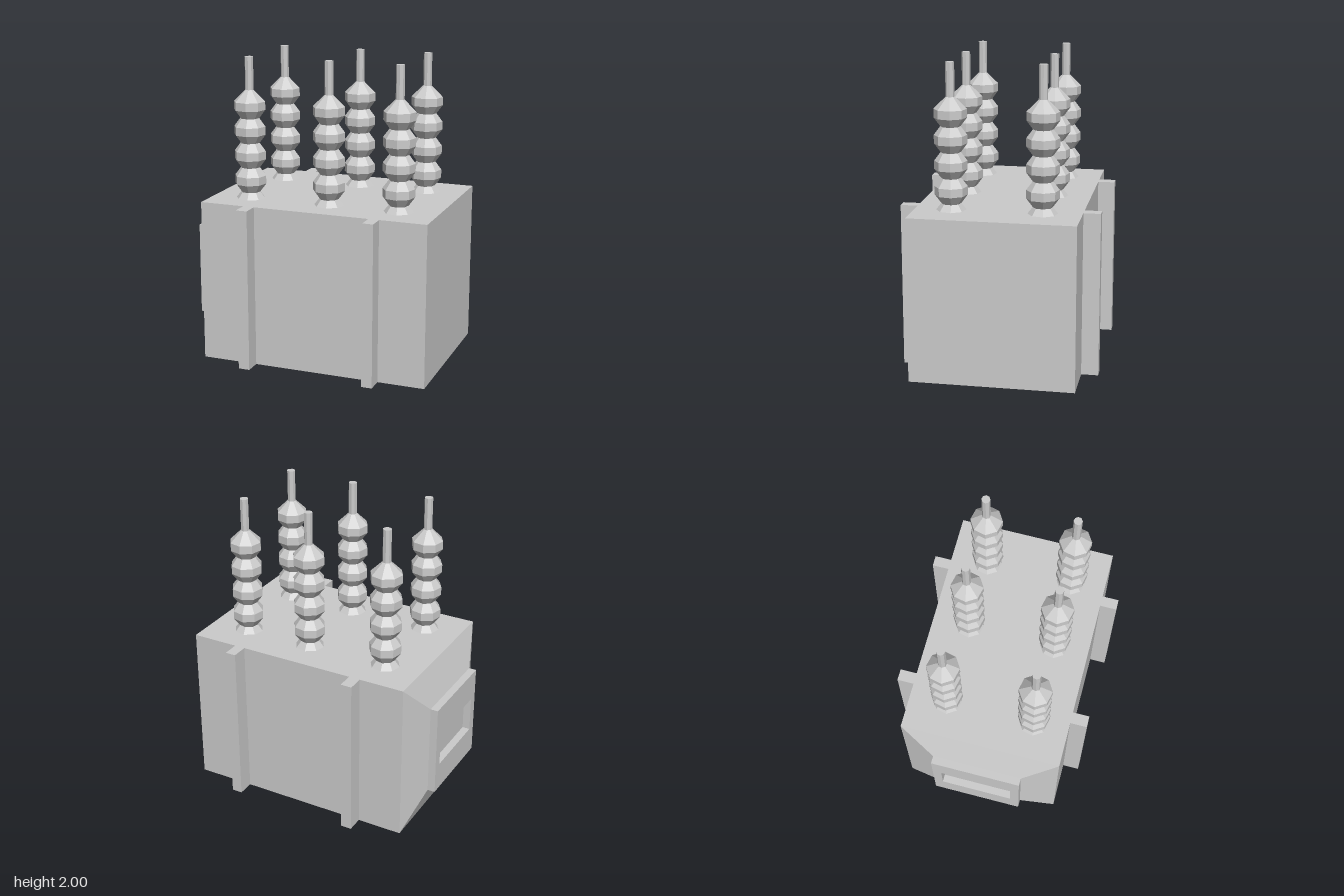
import * as THREE from 'three';

const material = new THREE.MeshStandardMaterial({ color: 0xcccccc, flatShading: true, side: THREE.DoubleSide });

const H = 1.07;      // tank height
const HALF = 0.53;   // half depth of the tank
const RIB = 0.64;    // outer face of the ribs
const BACK = 0.83;   // flat end, +x
const END = -0.70;   // start of the tapered end, -x
const ribs = [[-0.40, -0.325], [0.45, 0.52]];

function add(group, name, geometry) {
  const mesh = new THREE.Mesh(geometry, material);
  mesh.name = name;
  group.add(mesh);
  return mesh;
}

// Surface made of separate four-cornered faces
function fromQuads(quads) {
  const positions = [];
  for (const [a, b, c, d] of quads) positions.push(...a, ...b, ...c, ...a, ...c, ...d);
  const geometry = new THREE.BufferGeometry();
  geometry.setAttribute('position', new THREE.Float32BufferAttribute(positions, 3));
  geometry.computeVertexNormals();
  return geometry;
}

// Plan of the tank as [x, z], stepping out around each rib
function tankOutline() {
  const front = [[END, HALF]];
  for (const [x0, x1] of ribs) front.push([x0, HALF], [x0, RIB], [x1, RIB], [x1, HALF]);
  front.push([BACK, HALF]);
  const back = front.map(([x, z]) => [x, -z]).reverse();
  return [...front, ...back];
}

// Rectangle facing -x, corners in order
function ring(x, y0, y1, z) {
  return [[x, y0, -z], [x, y0, z], [x, y1, z], [x, y1, -z]];
}

function createTank() {
  const tank = new THREE.Group();
  tank.name = 'tank';
  const outline = tankOutline();

  // Side walls, hollow and open below
  const walls = [];
  for (let i = 0; i < outline.length - 1; i++) {
    const [x0, z0] = outline[i], [x1, z1] = outline[i + 1];
    walls.push([[x0, 0, z0], [x1, 0, z1], [x1, H, z1], [x0, H, z0]]);
  }
  add(tank, 'walls', fromQuads(walls));

  // Lid
  const lid = new THREE.Shape(outline.map(([x, z]) => new THREE.Vector2(x, -z)));
  add(tank, 'lid', new THREE.ShapeGeometry(lid).rotateX(-Math.PI / 2).translate(0, H, 0));

  // Caps under the ribs
  const caps = [];
  for (const [x0, x1] of ribs) {
    caps.push([[x0, 0, HALF], [x1, 0, HALF], [x1, 0, RIB], [x0, 0, RIB]].reverse());
    caps.push([[x0, 0, -RIB], [x1, 0, -RIB], [x1, 0, -HALF], [x0, 0, -HALF]].reverse());
  }
  for (const cap of caps) cap.reverse();
  add(tank, 'ribCaps', fromQuads(caps));

  // Tapered end, raised panel and recessed pocket
  const rings = [
    ring(END, 0, H, HALF),
    ring(-0.785, 0.23, 0.845, 0.30),
    ring(-0.835, 0.23, 0.845, 0.30),
    ring(-0.835, 0.415, 0.65, 0.24),
    ring(-0.785, 0.415, 0.65, 0.24),
  ];
  const faces = [];
  for (let r = 0; r < rings.length - 1; r++) {
    for (let i = 0; i < 4; i++) {
      const j = (i + 1) % 4;
      faces.push([rings[r][i], rings[r][j], rings[r + 1][j], rings[r + 1][i]]);
    }
  }
  faces.push(rings[rings.length - 1]);
  add(tank, 'taperedEnd', fromQuads(faces));
  return tank;
}

// Stacked eight-sided insulator with a terminal rod
function createInsulator() {
  const insulator = new THREE.Group();
  insulator.name = 'insulator';
  const profile = [new THREE.Vector2(0.1, H - 0.005)];
  for (let i = 0; i < 4; i++) {
    const y = 1.112 + i * 0.163;
    profile.push(
      new THREE.Vector2(0.063, y),
      new THREE.Vector2(0.104, y + 0.055),
      new THREE.Vector2(0.104, y + 0.109),
    );
  }
  profile.push(new THREE.Vector2(0.028, 1.785));
  const turn = THREE.MathUtils.degToRad(10);
  add(insulator, 'sheds', new THREE.LatheGeometry(profile, 8, turn));
  add(insulator, 'terminalRod', new THREE.CylinderGeometry(0.028, 0.028, 0.22, 8, 1, false, turn).translate(0, 1.89, 0));
  return insulator;
}

export function createModel() {
  const model = new THREE.Group();
  model.name = 'transformer';
  model.add(createTank());

  // Two rows of three insulators
  for (const z of [-0.283, 0.297]) {
    for (const x of [-0.45, 0.10, 0.57]) {
      const insulator = createInsulator();
      insulator.position.set(x, 0, z);
      model.add(insulator);
    }
  }
  return model;
}
